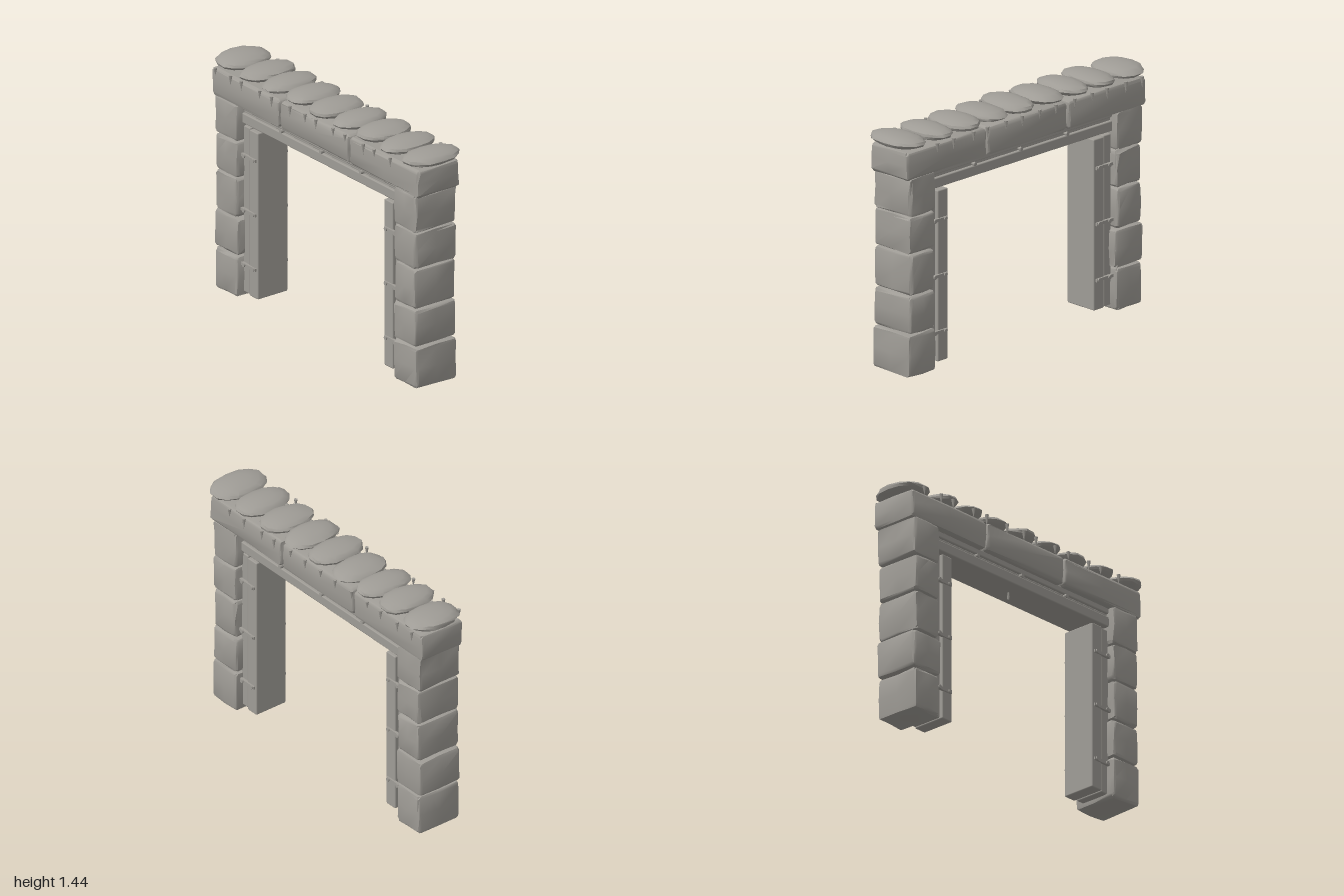
import * as THREE from 'three';
import { toCreasedNormals } from 'three/addons/utils/BufferGeometryUtils.js';
import { RoundedBoxGeometry } from 'three/addons/geometries/RoundedBoxGeometry.js';

const stone = new THREE.MeshStandardMaterial({ color: 0x9f9c96 });
stone.name = 'warm grey stone';

// Repeatable noise in -1..1, tied to a vertex position so seams stay closed
function noise(x, y, z, seed) {
  const s = Math.sin(x * 127.1 + y * 311.7 + z * 74.7 + seed * 53.3) * 43758.5453;
  return (s - Math.floor(s)) * 2 - 1;
}

function add(parent, name, geometry, x = 0, y = 0, z = 0) {
  const mesh = new THREE.Mesh(geometry, stone);
  mesh.name = name;
  mesh.position.set(x, y, z);
  parent.add(mesh);
  return mesh;
}

// Hewn block: chamfered box with gently uneven faces
function blockGeometry(w, h, d, seed) {
  const geo = new THREE.BoxGeometry(4, 4, 4, 4, 4, 4);
  const p = geo.attributes.position;
  const half = [w / 2, h / 2, d / 2];
  const chamfer = 0.022;
  for (let i = 0; i < p.count; i++) {
    const g = [p.getX(i), p.getY(i), p.getZ(i)].map(Math.round);
    const outer = g.filter((v) => Math.abs(v) === 2).length;
    const pull = [0, 0.004, 0.009, 0.013][outer];
    const v = g.map((k, a) => {
      const s = Math.sign(k);
      if (Math.abs(k) === 2) return s * (half[a] - pull);
      return s * (half[a] - chamfer);
    });
    const wobble = g.map((k, a) => noise(g[0], g[1], g[2], seed + a * 7) * 0.004);
    // middle of each face swells a little
    if (outer === 1) {
      const a = g.findIndex((k) => Math.abs(k) === 2);
      if (g.filter((k) => k === 0).length === 2 && a !== 1) v[a] += Math.sign(g[a]) * 0.006;
    }
    p.setXYZ(i, v[0] + wobble[0], v[1] + wobble[1], v[2] + wobble[2]);
  }
  return toCreasedNormals(geo, 0.65);
}

// Block given by its extents in x and y
function addBlock(parent, name, x0, x1, y0, y1, depth, seed) {
  return add(parent, name, blockGeometry(x1 - x0, y1 - y0, depth, seed), (x0 + x1) / 2, (y0 + y1) / 2, 0);
}

function plank(parent, name, x0, x1, y0, y1, depth) {
  const geo = new RoundedBoxGeometry(x1 - x0, y1 - y0, depth, 1, 0.007);
  return add(parent, name, geo, (x0 + x1) / 2, (y0 + y1) / 2, 0);
}

// Overhanging rounded cap stone
function capGeometry(rx, ry, rz, seed) {
  const geo = new THREE.SphereGeometry(1, 14, 8);
  const p = geo.attributes.position;
  const puff = (v, e) => Math.sign(v) * Math.abs(v) ** e;
  for (let i = 0; i < p.count; i++) {
    const [x, y, z] = [p.getX(i), p.getY(i), p.getZ(i)].map((v) => Math.round(v * 1000) / 1000 + 0);
    const k = 1 + 0.04 * noise(x, y, z, seed);
    p.setXYZ(i, puff(x, 0.88) * rx * k, y * ry, puff(z, 0.92) * rz * k);
  }
  return toCreasedNormals(geo, 0.7);
}

export function createModel() {
  const model = new THREE.Group();
  model.name = 'stoneGateway';

  // Stacked stones of both pillars: [inner x, outer x] per course
  const courses = [[0.005, 0.262], [0.262, 0.495], [0.495, 0.742], [0.742, 0.97], [0.967, 1.205]];
  const pillars = {
    rightPillar: [[0.725, 0.935], [0.715, 0.945], [0.73, 0.93], [0.725, 0.93], [0.725, 0.94]],
    leftPillar: [[0.715, 0.94], [0.717, 0.93], [0.725, 0.925], [0.72, 0.93], [0.717, 0.93]],
  };
  Object.entries(pillars).forEach(([name, widths], side) => {
    const pillar = new THREE.Group();
    pillar.name = name;
    widths.forEach(([a, b], i) => {
      const [x0, x1] = side === 0 ? [-b, -a] : [a, b];
      addBlock(pillar, 'pillarStone', x0, x1, ...courses[i], 0.302, side * 20 + i * 3 + 1);
    });
    model.add(pillar);
  });

  // Three long stones across the top
  [[-0.963, -0.335], [-0.333, 0.308], [0.31, 0.957]].forEach(([x0, x1], i) =>
    addBlock(model, 'lintelStone', x0, x1, 1.19, 1.365, 0.306, 60 + i * 5));

  // Row of cap stones: [centre x, half width, half depth, z shift]
  const caps = [
    [-0.872, 0.126, 0.168, -0.01], [-0.642, 0.112, 0.178, -0.005], [-0.435, 0.106, 0.176, -0.005],
    [-0.225, 0.116, 0.172, -0.008], [0.002, 0.113, 0.178, 0.002], [0.217, 0.112, 0.172, -0.004],
    [0.436, 0.116, 0.174, -0.006], [0.656, 0.11, 0.178, -0.005], [0.88, 0.12, 0.184, 0],
  ];
  caps.forEach(([x, rx, rz, z], i) => {
    const cap = add(model, 'capStone', capGeometry(rx, 0.038, rz, i * 4 + 2), x, 1.403, z);
    cap.rotation.z = 0.04 * noise(i, 1, 0, 3);
  });

  // Small spikes hanging under the cap edges, front then back
  const spikes = [
    [0.176, [-0.89, -0.75, -0.65, -0.48, -0.37, -0.2, -0.06, 0.04, 0.2, 0.31, 0.48, 0.58, 0.73]],
    [-0.178, [-0.9, -0.77, -0.62, -0.5, -0.36, -0.21, -0.08, 0.06, 0.19, 0.34, 0.45, 0.61, 0.74]],
  ];
  for (const [z, xs] of spikes) {
    xs.forEach((x, i) => {
      const length = 0.06 + 0.014 * noise(i, 2, z, 5);
      const geo = new THREE.ConeGeometry(0.012, length, 6).rotateX(Math.PI);
      add(model, 'hangingSpike', geo, x, 1.385 - length / 2, z);
    });
  }

  // Jamb planks with strap bars on front and back
  for (const side of [-1, 1]) {
    const jamb = new THREE.Group();
    jamb.name = side < 0 ? 'rightJamb' : 'leftJamb';
    const span = (a, b) => (side < 0 ? [-b, -a] : [a, b]);
    plank(jamb, 'innerPlank', ...span(0.584, 0.665), 0.035, 1.062, 0.214);
    plank(jamb, 'outerPlank', ...span(0.674, 0.735), 0.035, 1.062, 0.19);
    plank(jamb, 'backingPlank', ...span(0.65, 0.735), 0.045, 1.052, 0.16);
    for (const y of [0.215, 0.552, 0.888]) {
      for (const z of [-0.109, 0.109]) {
        add(jamb, 'strapBar', new THREE.BoxGeometry(0.135, 0.018, 0.016), side * 0.665, y, z);
        for (const x of [0.615, 0.7]) {
          const bolt = new THREE.CylinderGeometry(0.012, 0.012, 0.014, 8).rotateX(Math.PI / 2);
          add(jamb, 'strapBolt', bolt, side * x, y, z * 1.08);
        }
      }
    }
    model.add(jamb);
  }

  // Horizontal head beams under the lintel
  plank(model, 'lowerHeadBeam', -0.735, 0.735, 1.08, 1.142, 0.214);
  plank(model, 'middleHeadBeam', -0.735, 0.735, 1.138, 1.165, 0.18);
  plank(model, 'upperHeadBeam', -0.735, 0.735, 1.162, 1.2, 0.21);
  for (const x of [-0.37, 0, 0.37]) {
    for (const z of [-0.1, 0.1]) {
      const bolt = new THREE.CylinderGeometry(0.012, 0.012, 0.028, 8).rotateX(Math.PI / 2);
      add(model, 'beamBolt', bolt, x, 1.152, z);
    }
  }

  // Short peg hanging at the middle of the opening
  add(model, 'hangingPeg', new THREE.CylinderGeometry(0.006, 0.006, 0.05, 8), 0, 1.06, 0);
  add(model, 'pegCollar', new THREE.CylinderGeometry(0.009, 0.006, 0.02, 8), 0, 1.048, 0);

  return model;
}
